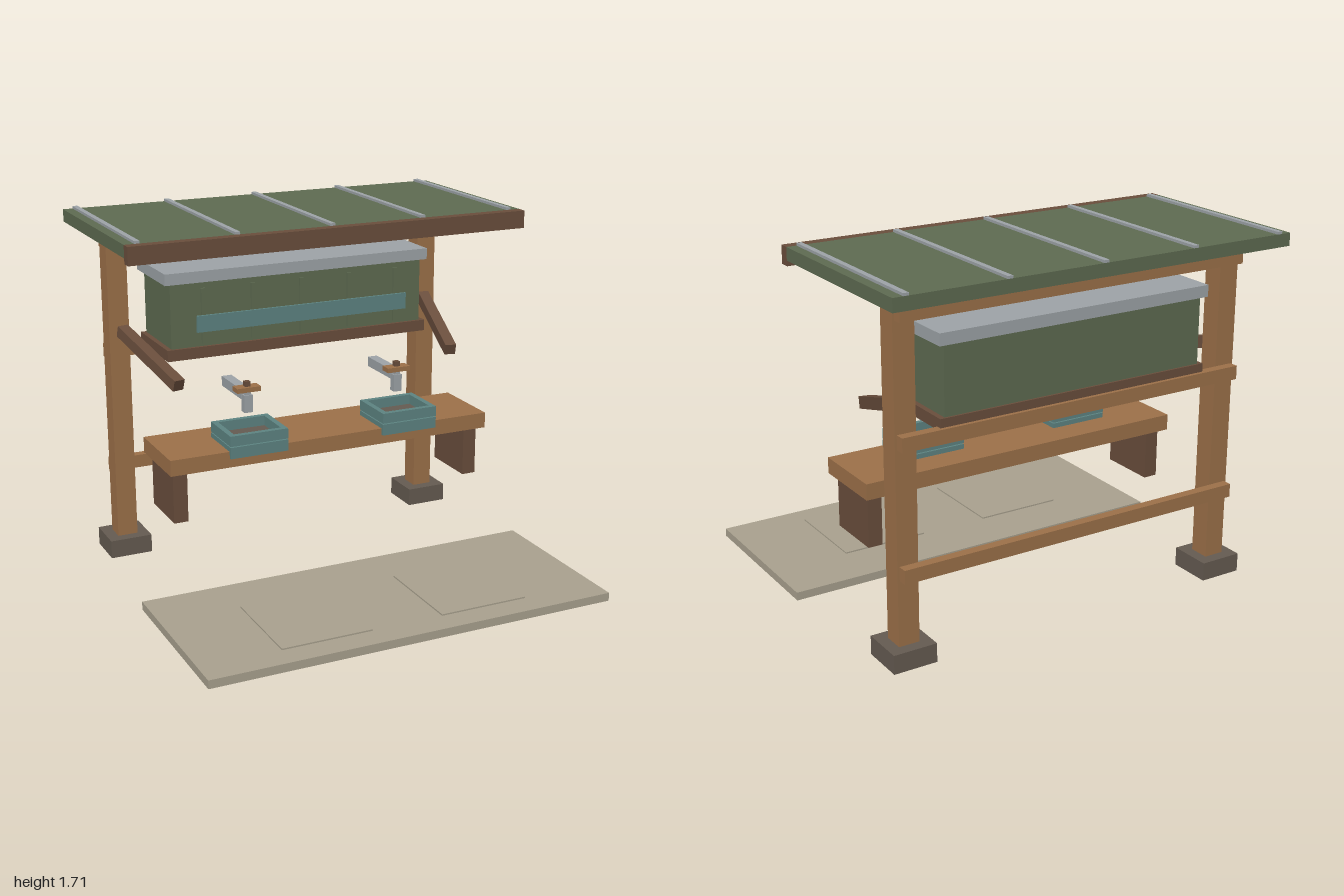
import * as THREE from 'three';

const mat = (name, hex) => {
  const m = new THREE.MeshStandardMaterial({ color: hex });
  m.name = name;
  return m;
};

export function createModel() {
  const root = new THREE.Group();
  root.name = 'washStation';

  const wood = mat('warm wood', 0x9e724a);
  const darkWood = mat('dark wood', 0x6b4f3d);
  const green = mat('moss green', 0x5f6c52);
  const silver = mat('galvanised metal', 0x9fa5a9);
  const teal = mat('teal enamel', 0x5e8583);
  const stone = mat('pale stone', 0xaba390);
  const footing = mat('grey footing', 0x665c52);

  // Box given by its extents along each axis
  const box = (name, m, [x0, x1], [y0, y1], [z0, z1], parent = root) => {
    const mesh = new THREE.Mesh(new THREE.BoxGeometry(x1 - x0, y1 - y0, z1 - z0), m);
    mesh.position.set((x0 + x1) / 2, (y0 + y1) / 2, (z0 + z1) / 2);
    mesh.name = name;
    parent.add(mesh);
    return mesh;
  };
  const around = (c, half) => [c - half, c + half];

  // Ground slab
  box('groundSlab', stone, [-1, 1], [0, 0.04], [0.075, 0.92]);

  // Roof, fascia and standing seams
  box('roofPanel', green, [-1, 1], [1.64, 1.7], [-0.92, 0.02]);
  box('roofFascia', darkWood, [-1, 1], [1.615, 1.7], [0.02, 0.07]);
  for (const x of [-0.94, -0.47, 0, 0.47, 0.94])
    box('roofSeam', silver, around(x, 0.0125), [1.7, 1.712], [-0.92, 0.02]);

  // Rails tying the posts together at the back
  for (const y of [0.4, 0.99, 1.54])
    box('backRail', wood, [-0.88, 0.88], [y, y + 0.065], [-0.755, -0.71]);

  // Water cabinet
  box('cabinetBase', darkWood, [-0.69, 0.69], [1.04, 1.095], [-0.737, -0.345]);
  box('cabinetBody', green, [-0.665, 0.665], [1.095, 1.41], [-0.727, -0.36]);
  box('cabinetLid', silver, [-0.695, 0.695], [1.41, 1.465], [-0.745, -0.34]);
  for (const x of [-0.51, -0.255, 0, 0.255, 0.51])
    box('cabinetSlat', green, around(x, 0.011), [1.115, 1.385], [-0.335, -0.325]);
  box('cabinetBand', teal, [-0.555, 0.555], [1.18, 1.26], [-0.309, -0.296]);

  // Bench
  box('benchTop', wood, [-0.83, 0.83], [0.615, 0.692], [-0.33, 0.045]);

  for (const s of [-1, 1]) {
    // Posts, footings and bench legs
    box('post', wood, around(s * 0.84, 0.05), [0.01, 1.635], [-0.71, -0.61]);
    box('postFooting', footing, around(s * 0.84, 0.105), [0, 0.09], [-0.765, -0.555]);
    box('benchLeg', darkWood, around(s * 0.77, 0.035), [0.365, 0.615], [-0.287, 0]);

    // Sloping brace from the post towards the front
    const back = new THREE.Vector3(s * 0.825, 1.148, -0.61);
    const front = new THREE.Vector3(s * 0.718, 0.99, -0.122);
    const brace = new THREE.Mesh(
      new THREE.BoxGeometry(0.055, 0.055, back.distanceTo(front)), darkWood);
    brace.position.lerpVectors(back, front, 0.5);
    brace.lookAt(front);
    brace.name = 'brace';
    root.add(brace);

    // Standing pad on the slab
    const c = s * 0.395;
    box('standingPad', stone, around(c, 0.22), [0.04, 0.047], [0.33, 0.8]);

    // Basin: lower tray, recessed floor, raised rim and drain
    const basin = new THREE.Group();
    basin.name = 'basin';
    root.add(basin);
    box('basinTray', teal, around(c, 0.145), [0.66, 0.715], [-0.19, 0.06], basin);
    box('basinFloor', footing, around(c, 0.118), [0.715, 0.722], [-0.163, 0.033], basin);
    for (const e of [-1, 1]) {
      box('basinRimEnd', teal, around(c, 0.145), [0.72, 0.77], around(-0.065 + e * 0.1115, 0.0135), basin);
      box('basinRimSide', teal, around(c + e * 0.1315, 0.0135), [0.72, 0.77], [-0.163, 0.033], basin);
    }
    const drain = new THREE.Mesh(new THREE.CylinderGeometry(0.022, 0.022, 0.006, 16), darkWood);
    drain.position.set(c, 0.725, -0.065);
    drain.name = 'drain';
    basin.add(drain);

    // Tap: pipe, spout, stem, handle and knob
    const tap = new THREE.Group();
    tap.name = 'tap';
    root.add(tap);
    box('tapPipe', silver, around(c, 0.025), [0.89, 0.938], [-0.345, -0.1], tap);
    box('tapSpout', silver, around(c, 0.021), [0.83, 0.915], [-0.107, -0.067], tap);
    box('tapStem', silver, around(c, 0.014), [0.91, 0.935], [-0.1, -0.074], tap);
    box('tapHandle', wood, around(c, 0.06), [0.932, 0.955], [-0.117, -0.057], tap);
    box('tapKnob', darkWood, around(c, 0.013), [0.955, 0.98], [-0.1, -0.074], tap);
  }
  return root;
}
